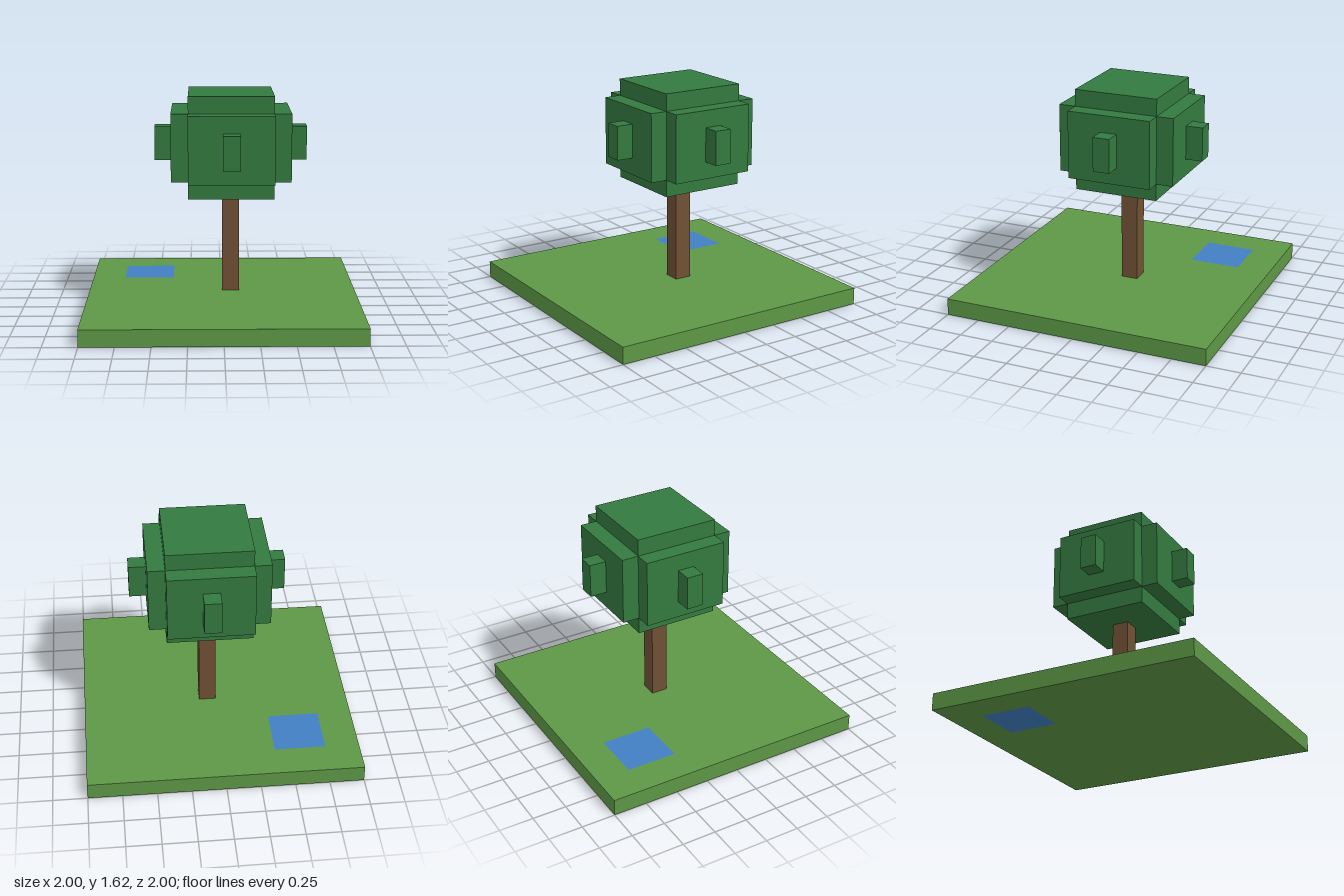
import * as THREE from 'three';

const U = 0.125; // one block

const mat = (name, color) => {
  const m = new THREE.MeshStandardMaterial({ color });
  m.name = name;
  return m;
};

function box(name, material, size, centre) {
  const mesh = new THREE.Mesh(new THREE.BoxGeometry(...size), material);
  mesh.name = name;
  mesh.position.set(...centre);
  return mesh;
}

export function createModel() {
  const grass = mat('grass green', 0x5d9846);
  const water = mat('water blue', 0x417fc4);
  const bark = mat('bark brown', 0x715135);
  const leaf = mat('leaf green', 0x347a40);

  const model = new THREE.Group();
  model.name = 'treeOnGrass';

  // Grass slab with a square opening for the pond
  const slab = new THREE.Shape([[-1, -1], [1, -1], [1, 1], [-1, 1]].map(p => new THREE.Vector2(...p)));
  slab.holes.push(new THREE.Path(
    [[-0.75, 0.375], [-0.75, 0.75], [-0.375, 0.75], [-0.375, 0.375]].map(p => new THREE.Vector2(...p))));
  const groundGeo = new THREE.ExtrudeGeometry(slab, { depth: U, bevelEnabled: false });
  groundGeo.rotateX(-Math.PI / 2);
  const ground = new THREE.Mesh(groundGeo, grass);
  ground.name = 'ground';
  model.add(ground);

  // Pond fills the opening, flush above and below
  model.add(box('pond', water, [3 * U, U, 3 * U], [-0.5625, U / 2, -0.5625]));

  // Tree stands half a block off centre
  const tree = new THREE.Group();
  tree.name = 'tree';
  tree.position.set(U / 2, 0, -U / 2);
  tree.add(box('trunk', bark, [U, 6 * U, U], [0, 4 * U, 0]));
  tree.add(box('crownCore', leaf, [5 * U, 6 * U, 5 * U], [0, 10 * U, 0]));

  // Stepped leaf pad and small tip on each of the four sides
  for (let i = 0; i < 4; i++) {
    const side = new THREE.Group();
    side.name = 'crownSide' + (i + 1);
    side.rotation.y = i * Math.PI / 2;
    side.add(box('leafPad', leaf, [5 * U, 4 * U, U], [0, 10 * U, 3 * U]));
    side.add(box('leafTip', leaf, [U, 2 * U, U], [0, 10 * U, 4 * U]));
    tree.add(side);
  }
  model.add(tree);
  return model;
}
